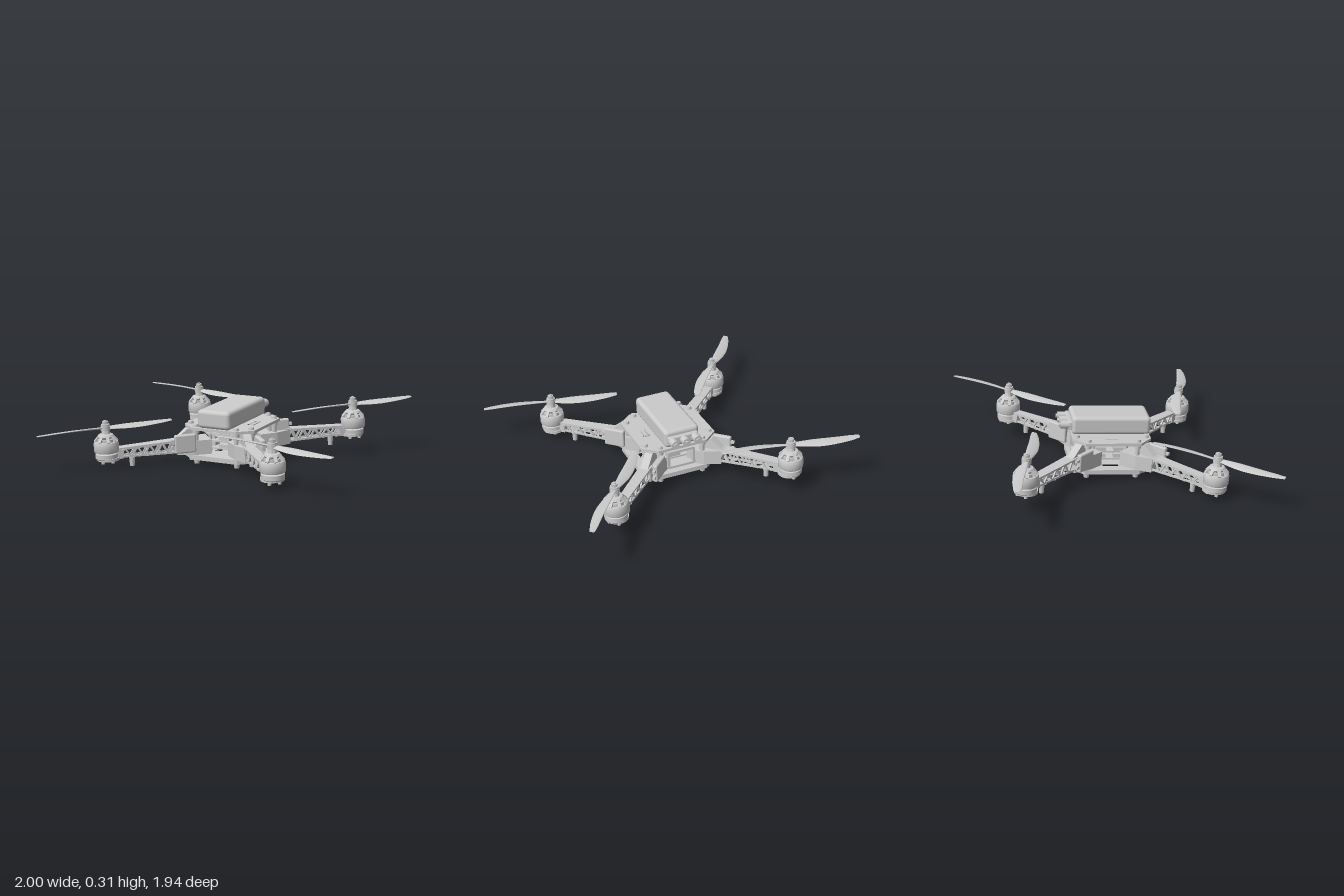
import * as THREE from 'three';
import { toCreasedNormals } from 'three/addons/utils/BufferGeometryUtils.js';
import { RoundedBoxGeometry } from 'three/addons/geometries/RoundedBoxGeometry.js';

const mat = new THREE.MeshStandardMaterial({ color: 0xcccccc });
const V2 = (x, y) => new THREE.Vector2(x, y);
const deg = THREE.MathUtils.degToRad;

function add(parent, name, geo, x = 0, y = 0, z = 0) {
  const m = new THREE.Mesh(geo, mat);
  m.name = name;
  m.position.set(x, y, z);
  parent.add(m);
  return m;
}
const box = (w, h, d) => new THREE.BoxGeometry(w, h, d);
const rbox = (w, h, d, r) => new RoundedBoxGeometry(w, h, d, 3, r);
const cyl = (r, h, n = 16, r2 = r) => new THREE.CylinderGeometry(r, r2, h, n);
const lathe = (pts, n = 32) =>
  toCreasedNormals(new THREE.LatheGeometry(pts.map(p => V2(...p)), n), 0.6);

// Flat outline in x/z extruded upwards, bottom at y = 0
function slab(pts, h, holes = []) {
  const s = new THREE.Shape(pts.map(p => V2(p[0], -p[1])));
  for (const hole of holes) s.holes.push(new THREE.Path(hole.map(p => V2(p[0], -p[1]))));
  return new THREE.ExtrudeGeometry(s, { depth: h, bevelEnabled: false }).rotateX(-Math.PI / 2);
}
// Upright x/y shape with a thickness centred on z = 0
const upright = (shape, thick) =>
  new THREE.ExtrudeGeometry(shape, { depth: thick, bevelEnabled: false }).translate(0, 0, -thick / 2);
const rect = (x, z, w, d) => [[x - w, z - d], [x + w, z - d], [x + w, z + d], [x - w, z + d]];
const plateOutline = [[-0.2, -0.13], [-0.14, -0.2], [0.14, -0.2], [0.2, -0.13],
  [0.2, 0.13], [0.14, 0.2], [-0.14, 0.2], [-0.2, 0.13]];

// Truss panel with alternating triangular openings
function trussPanel(x0, x1, lo, hi, n, thick) {
  const yLo = x => THREE.MathUtils.mapLinear(x, x0, x1, lo[0], lo[1]);
  const yHi = x => THREE.MathUtils.mapLinear(x, x0, x1, hi[0], hi[1]);
  const s = new THREE.Shape([V2(x0, lo[0]), V2(x1, lo[1]), V2(x1, hi[1]), V2(x0, hi[0])]);
  const step = (x1 - x0 - 0.02) / (n + 1), rim = 0.01;
  for (let i = 0; i < n; i++) {
    const a = x0 + 0.01 + i * step, up = i % 2 === 0;
    const base = up ? x => yLo(x) + rim : x => yHi(x) - rim;
    const tip = up ? x => yHi(x) - rim : x => yLo(x) + rim;
    const l = a + 0.01, r = a + 2 * step - 0.01, m = a + step;
    s.holes.push(new THREE.Path([V2(l, base(l)), V2(r, base(r)), V2(m, tip(m))]));
  }
  return upright(s, thick);
}

// Twisted, tapering propeller blade along +x with a squared tip
function bladeGeometry() {
  const chord = [0.026, 0.04, 0.052, 0.056, 0.054, 0.049, 0.042, 0.026];
  const g = new THREE.CylinderGeometry(1, 1, 1, 14, 21).rotateZ(-Math.PI / 2);
  const p = g.attributes.position;
  for (let i = 0; i < p.count; i++) {
    const t = p.getX(i) + 0.5, k = Math.min(t * 7, 6.999), j = Math.floor(k);
    const c = THREE.MathUtils.lerp(chord[j], chord[j + 1], k - j) / 2;
    const a = THREE.MathUtils.lerp(0.32, 0.1, t);
    const w = p.getZ(i) * c, h = p.getY(i) * (0.0055 - 0.003 * t);
    const sweep = 0.014 * Math.sin(t * Math.PI) - 0.002 * t;
    p.setXYZ(i, 0.012 + t * 0.338, h * Math.cos(a) - w * Math.sin(a),
      sweep + w * Math.cos(a) + h * Math.sin(a));
  }
  g.computeVertexNormals();
  return g;
}

function propeller() {
  const g = new THREE.Group();
  g.name = 'propeller';
  const blade = bladeGeometry();
  for (const a of [0, Math.PI]) add(g, 'blade', blade).rotation.y = a;
  add(g, 'propellerHub', cyl(0.024, 0.022, 24));
  add(g, 'washer', cyl(0.022, 0.01, 20), 0, 0.015);
  add(g, 'lockNut', cyl(0.016, 0.016, 6), 0, 0.027);
  add(g, 'shaftTip', cyl(0.008, 0.006, 12), 0, 0.037);
  return g;
}

function motor() {
  const g = new THREE.Group();
  g.name = 'motor';
  add(g, 'motorBase', lathe([[0, 0.078], [0.05, 0.078], [0.057, 0.085], [0.057, 0.108], [0.05, 0.112], [0, 0.112]]));
  add(g, 'stator', cyl(0.047, 0.08), 0, 0.145);
  add(g, 'bell', lathe([[0.05, 0.116], [0.06, 0.116], [0.063, 0.122], [0.063, 0.16], [0.059, 0.17], [0.052, 0.172], [0.05, 0.116]]));
  add(g, 'bellCap', lathe([[0.036, 0.184], [0.042, 0.196], [0.036, 0.205], [0.022, 0.208], [0.018, 0.23], [0, 0.23]]));
  for (let i = 0; i < 8; i++) {
    const pivot = new THREE.Group();
    pivot.rotation.y = i * Math.PI / 4;
    g.add(pivot);
    add(pivot, 'bellSpoke', box(0.034, 0.012, 0.016), 0.045, 0.184).rotation.z = -0.85;
    if (i % 2) add(pivot, 'mountScrew', cyl(0.009, 0.02, 10), 0.036, 0.069);
  }
  return g;
}

function arm(propTurn) {
  const g = new THREE.Group();
  g.name = 'arm';
  // Root clamped between the plates, flaring into the body, with a sloping rib
  add(g, 'armRoot', slab([[0.13, -0.065], [0.22, -0.058], [0.3, -0.028], [0.3, 0.028], [0.22, 0.058], [0.13, 0.065]], 0.074), 0, 0.066);
  const rib = new THREE.Shape([V2(0.19, 0.136), V2(0.33, 0.136), V2(0.3, 0.15), V2(0.245, 0.195), V2(0.19, 0.195)]);
  add(g, 'rootRib', upright(rib, 0.04));
  // Truss beam with a solid top
  for (const s of [-1, 1])
    add(g, 'sideTruss', trussPanel(0.27, 0.61, [0.074, 0.082], [0.142, 0.128], 9, 0.008), 0, 0, s * 0.022).rotation.y = s * 0.008;
  add(g, 'armTop', slab([[0.27, -0.03], [0.62, -0.024], [0.62, 0.024], [0.27, 0.03]], 0.009), 0, 0.147, 0).rotation.z = -0.04;
  const n = 8, step = 0.3 / n;
  for (let i = 0; i < n; i++) {
    const b = add(g, 'bottomBrace', box(0.056, 0.007, 0.008), 0.3 + (i + 0.5) * step, 0.08, 0);
    b.rotation.y = (i % 2 ? 1 : -1) * 0.85;
  }
  // Motor mount, foot, motor and propeller
  add(g, 'motorMount', cyl(0.058, 0.014, 28), 0.65, 0.081);
  add(g, 'mountBracket', box(0.05, 0.045, 0.05), 0.6, 0.1);
  add(g, 'footPad', cyl(0.015, 0.052, 14, 0.012), 0.53, 0.056);
  const m = motor();
  m.position.x = 0.657;
  g.add(m);
  const p = propeller();
  p.position.set(0.657, 0.237, 0);
  p.rotation.y = propTurn;
  g.add(p);
  // Speed controller standing beside the root
  add(g, 'speedController', rbox(0.11, 0.095, 0.026, 0.008), 0.268, 0.132, -0.062);
  for (const y of [0.115, 0.15]) add(g, 'controllerTab', box(0.02, 0.014, 0.014), 0.33, y, -0.062);
  return g;
}

export function createModel() {
  const root = new THREE.Group();
  root.name = 'quadcopter';
  const body = new THREE.Group();
  body.name = 'airframe';
  // The craft sits slightly tilted and turned
  const tilt = new THREE.Quaternion().setFromUnitVectors(
    new THREE.Vector3(0, 1, 0), new THREE.Vector3(-0.05, 1, 0.043).normalize());
  body.quaternion.copy(tilt).multiply(
    new THREE.Quaternion().setFromAxisAngle(new THREE.Vector3(0, 1, 0), deg(38)));
  body.position.set(0.015, 0, -0.009);
  root.add(body);

  // Plates
  const vents = [rect(0, -0.14, 0.04, 0.01), rect(0, 0.14, 0.04, 0.01)];
  for (const sx of [-1, 1]) for (const sz of [-1, 1])
    vents.push([[sx * 0.025, sz * 0.03], [sx * 0.075, sz * 0.03], [sx * 0.075, sz * 0.07]]);
  add(body, 'bottomPlate', slab(plateOutline, 0.024, vents), 0, 0.042);
  add(body, 'topPlate', slab(plateOutline, 0.014,
    [rect(0, -0.128, 0.045, 0.018), rect(0, 0.128, 0.045, 0.018)]), 0, 0.196);
  for (const s of [-1, 1]) add(body, 'strapBar', box(0.06, 0.01, 0.014), 0, 0.203, s * 0.128);

  // Screws and standoffs at the clipped corners
  for (const sx of [-1, 1]) for (const sz of [-1, 1])
    for (const [x, z] of [[0.125, 0.174], [0.175, 0.115]]) {
      add(body, 'standoff', cyl(0.012, 0.15, 12), sx * x, 0.13, sz * z);
      add(body, 'topScrew', cyl(0.013, 0.014, 14, 0.016), sx * x, 0.216, sz * z);
      add(body, 'bottomScrew', cyl(0.016, 0.024, 14, 0.013), sx * x, 0.031, sz * z);
      add(body, 'standoffCollar', cyl(0.018, 0.018, 14), sx * x, 0.186, sz * z);
    }

  // Electronics stack
  for (const y of [0.085, 0.122, 0.158]) {
    add(body, 'circuitBoard', box(0.2, 0.008, 0.2), 0, y);
    for (const s of [-1, 1]) {
      add(body, 'boardSocket', box(0.05, 0.02, 0.03), s * 0.045, y + 0.013, 0.08);
      add(body, 'boardSocket', box(0.05, 0.02, 0.03), s * 0.045, y + 0.013, -0.08);
      add(body, 'boardChip', box(0.03, 0.018, 0.06), s * 0.08, y + 0.012, 0);
    }
  }
  for (const sx of [-1, 1]) for (const sz of [-1, 1])
    add(body, 'stackPost', cyl(0.009, 0.14, 10), sx * 0.085, 0.13, sz * 0.085);

  // Open port frame on the connector side
  for (const s of [-1, 1]) {
    add(body, 'portSide', box(0.04, 0.09, 0.012), 0.16, 0.125, s * 0.068);
    add(body, 'portRail', box(0.04, 0.012, 0.136), 0.16, 0.125 + s * 0.042, 0);
  }

  // Battery with its three connectors
  add(body, 'battery', rbox(0.4, 0.094, 0.184, 0.02), -0.003, 0.257);
  add(body, 'connectorBlock', rbox(0.03, 0.044, 0.16, 0.008), 0.2, 0.255);
  for (const z of [-0.06, 0, 0.06]) {
    add(body, 'connector', cyl(0.021, 0.06, 18), 0.224, 0.256, z).rotation.z = Math.PI / 2;
    add(body, 'connectorPin', cyl(0.01, 0.012, 12), 0.256, 0.256, z).rotation.z = Math.PI / 2;
  }

  // Four arms, each propeller stopped at its own angle
  [0, -64.5, 0, -64.5].forEach((worldAngle, i) => {
    const a = arm(deg(worldAngle - (-7 + 90 * i)));
    a.rotation.y = deg(-45 + 90 * i);
    body.add(a);
  });
  return root;
}
